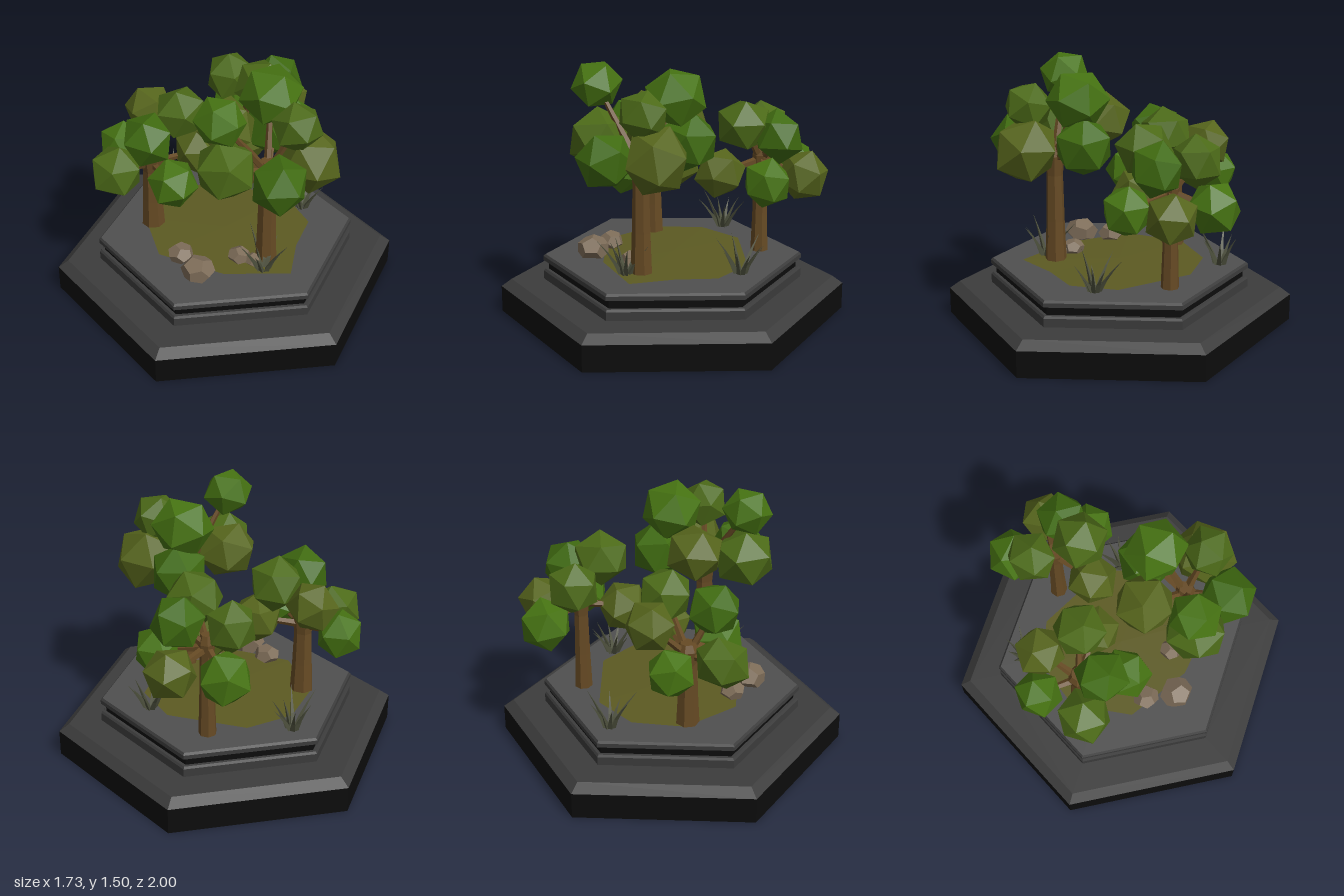
import * as THREE from 'three';

const GROUND = 0.352;
let seed = 11;
const rand = () => (seed = (seed * 16807) % 2147483647) / 2147483647;

const material = (color, side = THREE.FrontSide) =>
  new THREE.MeshStandardMaterial({ color, flatShading: true, side });

function add(parent, name, geometry, mat) {
  const mesh = new THREE.Mesh(geometry, mat);
  mesh.name = name;
  parent.add(mesh);
  return mesh;
}

const group = (parent, name) => {
  const g = new THREE.Group();
  g.name = name;
  parent.add(g);
  return g;
};

// Hexagonal band with a corner towards +z, from [radius, y] points
function hexBand(parent, name, profile, mat) {
  const points = profile.map(([r, y]) => new THREE.Vector2(r, y));
  return add(parent, name, new THREE.LatheGeometry(points, 6).toNonIndexed(), mat);
}

function buildBase(parent) {
  const base = group(parent, 'base');
  const black = material(0x0c0c0c), dark = material(0x3c3c3c), grey = material(0x505050);
  hexBand(base, 'plinthSides', [[0, 0], [1, 0], [1, 0.155]], black);
  hexBand(base, 'plinthBevel', [[1, 0.155], [0.94, 0.2], [0.75, 0.2]], dark);
  hexBand(base, 'lowerStep', [[0.75, 0.2], [0.75, 0.25], [0.74, 0.262], [0.72, 0.262]], dark);
  hexBand(base, 'recess', [[0.72, 0.262], [0.72, 0.31]], black);
  hexBand(base, 'upperStep', [[0.72, 0.31], [0.75, 0.315], [0.75, 0.34], [0.738, GROUND]], dark);
  hexBand(base, 'platformTop', [[0.738, GROUND], [0, GROUND]], grey);
}

// Irregular, slightly domed patch of grass
function buildLawn(parent) {
  const outline = [[-0.48, 0.1], [-0.45, -0.2], [-0.25, -0.4], [0.22, -0.42], [0.43, -0.24],
    [0.44, 0], [0.5, 0.25], [0.15, 0.4], [-0.26, 0.38]];
  const verts = [];
  outline.forEach(([x, z], i) => {
    const [nx, nz] = outline[(i + 1) % outline.length];
    verts.push(0, GROUND + 0.01, 0, nx, GROUND + 0.002, nz, x, GROUND + 0.002, z);
  });
  const geo = new THREE.BufferGeometry();
  geo.setAttribute('position', new THREE.Float32BufferAttribute(verts, 3));
  geo.computeVertexNormals();
  add(parent, 'lawn', geo, material(0x5c5a22, THREE.DoubleSide));
}

const bark = material(0x664a24);
const leafMats = [0x467312, 0x4c6a18, 0x56651c, 0x3f6a10].map((c) => material(c));

// Seven-sided trunk flaring at foot and fork, with faceted leaf clusters [x, y, z, radius]
function buildTree(parent, name, { x, z, top, radius, clusters }) {
  const tree = group(parent, name);
  const h = top - GROUND;
  const profile = [[1.1, 0], [0.95, 0.35], [0.84, 0.75], [1.05, 0.92], [0.7, 1], [0, 1]]
    .map(([r, t]) => new THREE.Vector2(r * radius, t * h));
  add(tree, 'trunk', new THREE.LatheGeometry(profile, 7), bark).position.set(x, GROUND, z);

  clusters.forEach(([cx, cy, cz, r], i) => {
    const leaf = add(tree, 'leafCluster', new THREE.IcosahedronGeometry(r * 1.07, 0), leafMats[i % 4]);
    leaf.position.set(cx, cy, cz);
    leaf.rotation.set(rand() * 6, rand() * 6, rand() * 6);
    leaf.scale.set(0.95 + rand() * 0.12, 0.95 + rand() * 0.1, 0.95 + rand() * 0.12);

    // Short limb from the fork to the cluster
    const from = new THREE.Vector3(x, top - 0.08, z);
    const dir = leaf.position.clone().sub(from);
    const limb = add(tree, 'branch', new THREE.CylinderGeometry(0.012, 0.026, dir.length(), 5), bark);
    limb.position.copy(from).addScaledVector(dir, 0.5);
    limb.quaternion.setFromUnitVectors(new THREE.Vector3(0, 1, 0), dir.normalize());
  });
}

const TREES = {
  leftTree: {
    x: 0.32, z: 0.18, top: 1.04, radius: 0.057,
    clusters: [
      [0.14, 1.39, 0.42, 0.135], [0.17, 1.09, 0.41, 0.17], [0.53, 1.06, 0.1, 0.18],
      [0.46, 1.04, 0.37, 0.155], [0.26, 1.34, -0.01, 0.165], [0.48, 1.29, 0.17, 0.135],
      [0.05, 1.17, 0.13, 0.16], [0.26, 1.09, -0.08, 0.155],
    ],
  },
  rightTree: {
    x: -0.42, z: 0.11, top: 0.86, radius: 0.062,
    clusters: [
      [-0.65, 0.8, 0.03, 0.135], [-0.55, 0.81, 0.3, 0.145], [-0.52, 1.01, -0.09, 0.135],
      [-0.37, 1.04, 0.25, 0.145], [-0.21, 0.8, 0.27, 0.14], [-0.29, 1.08, -0.02, 0.15],
      [-0.18, 0.85, -0.02, 0.13],
    ],
  },
  backTree: {
    x: -0.055, z: -0.51, top: 0.98, radius: 0.047,
    clusters: [
      [-0.22, 0.84, -0.69, 0.145], [-0.2, 1.06, -0.53, 0.14], [0.07, 0.84, -0.74, 0.14],
      [0.08, 1.07, -0.59, 0.145], [0.22, 0.84, -0.52, 0.135], [0.05, 1.13, -0.4, 0.15],
      [0.02, 0.84, -0.27, 0.14],
    ],
  },
};

// Squat faceted boulders [x, z, radius]
function buildRocks(parent) {
  const rocks = group(parent, 'rocks');
  const stone = material(0x7d6c58);
  [[-0.13, 0.36, 0.075], [0.02, 0.46, 0.095], [0.18, 0.24, 0.065], [0.27, 0.24, 0.05]].forEach(([x, z, r]) => {
    const geo = new THREE.DodecahedronGeometry(r).rotateX(rand() * 6).rotateZ(rand() * 6);
    const rock = add(rocks, 'rock', geo, stone);
    rock.position.set(x, GROUND + r * 0.45, z);
    rock.scale.set(1.05, 0.8, 1);
  });
}

// Clump of bent three-sided blades leaning outwards
function buildTuft(parent, x, z) {
  const tuft = group(parent, 'grassTuft');
  const mat = material(0x4c4f3c, THREE.DoubleSide);
  const count = 8;
  for (let i = 0; i < count; i++) {
    const h = 0.12 + rand() * 0.1;
    const geo = new THREE.ConeGeometry(0.019, h, 3, 3).translate(0, h / 2, 0);
    const lean = 0.25 + rand() * 0.3;
    const p = geo.attributes.position;
    for (let k = 0; k < p.count; k++) {
      const y = p.getY(k);
      p.setX(k, p.getX(k) + lean * y + 1.1 * y * y);
    }
    geo.computeVertexNormals();
    const blade = add(tuft, 'blade', geo, mat);
    blade.rotation.y = (i / count) * Math.PI * 2 + rand() * 0.5;
    blade.position.set(0.022 * Math.cos(blade.rotation.y), 0, -0.022 * Math.sin(blade.rotation.y));
  }
  tuft.position.set(x, GROUND - 0.002, z);
}

export function createModel() {
  seed = 11;
  const model = new THREE.Group();
  model.name = 'treeDiorama';
  buildBase(model);
  buildLawn(model);
  for (const [name, spec] of Object.entries(TREES)) buildTree(model, name, spec);
  buildRocks(model);
  [[-0.49, -0.32], [0.34, -0.37], [0.34, 0.27]].forEach(([x, z]) => buildTuft(model, x, z));
  return model;
}
